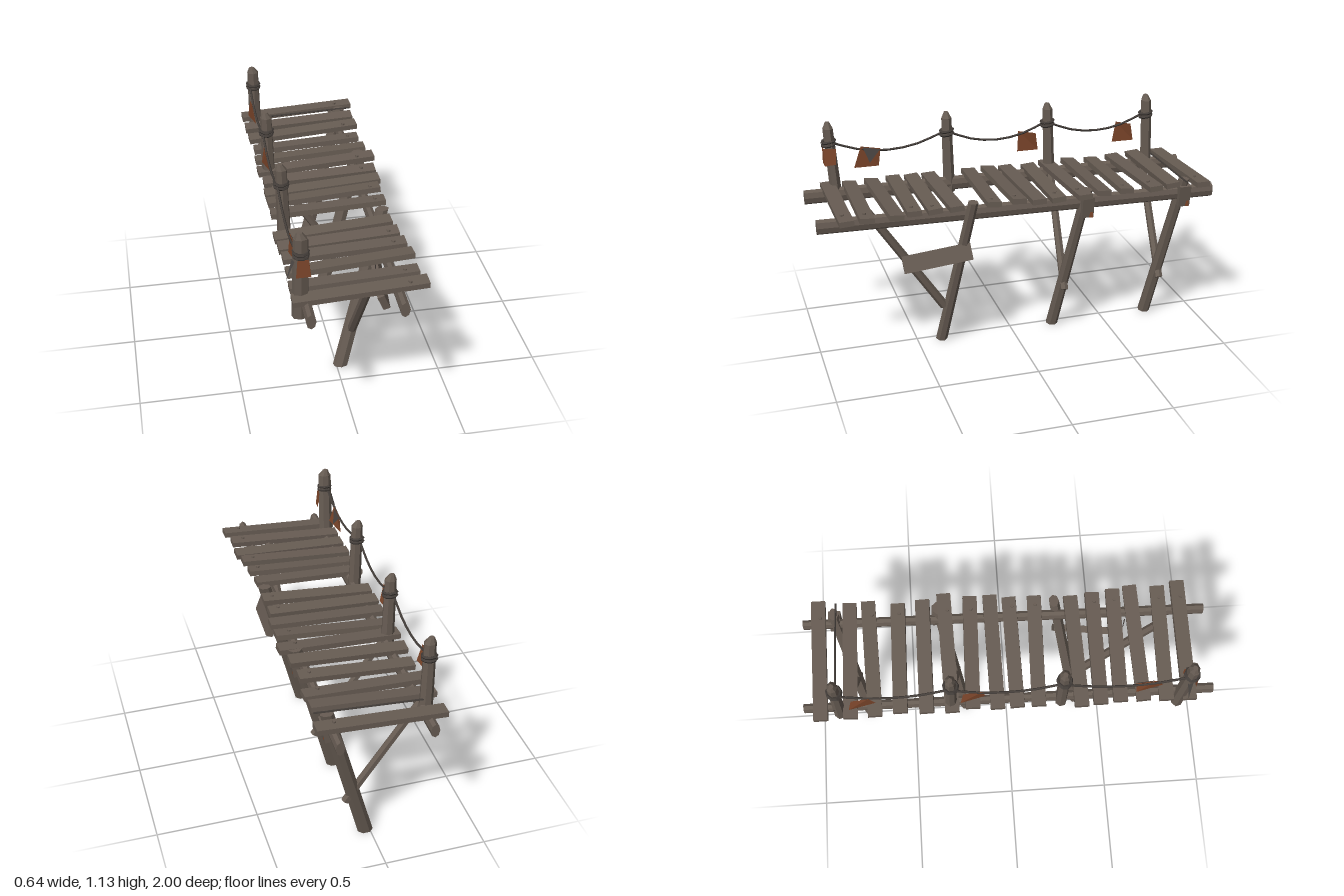
import * as THREE from 'three';

const V = (x, y, z) => new THREE.Vector3(x, y, z);
const mat = (name, color, extra = {}) => Object.assign(new THREE.MeshStandardMaterial({ color, flatShading: true, ...extra }), { name });

export function createModel() {
  const group = new THREE.Group();
  const wood = mat('weatheredWood', 0x675c53);
  const ropeMat = mat('rope', 0x433d39);
  const cloth = mat('rustCloth', 0x80482c, { side: THREE.DoubleSide });
  const rag = mat('greyRag', 0x4b4643, { side: THREE.DoubleSide });

  const add = (name, geo, material) => {
    const m = new THREE.Mesh(geo, material);
    m.name = name;
    group.add(m);
    return m;
  };
  // Upright log: sheared so that its ends stay level
  const upright = (name, a, b, rx, rz, taper = 0.9, sides = 7) => {
    const g = new THREE.CylinderGeometry(taper, 1, 1, sides, 1);
    const p = g.attributes.position;
    for (let i = 0; i < p.count; i++) {
      const c = a.clone().lerp(b, p.getY(i) + 0.5);
      p.setXYZ(i, c.x + p.getX(i) * rx, c.y, c.z + p.getZ(i) * rz);
    }
    g.computeVertexNormals();
    return add(name, g, wood);
  };
  // Round log or sawn board between two points
  const aim = (m, a, b, roll = 0) => {
    m.position.copy(a).lerp(b, 0.5);
    m.lookAt(b);
    m.rotateZ(roll);
    return m;
  };
  const log = (name, a, b, ra, rb, sides = 7, material = wood) => {
    const g = new THREE.CylinderGeometry(rb, ra, a.distanceTo(b), sides);
    g.rotateX(Math.PI / 2);
    return aim(add(name, g, material), a, b);
  };
  const board = (name, a, b, w, h, roll = 0) =>
    aim(add(name, new THREE.BoxGeometry(w, h, a.distanceTo(b)), wood), a, b, roll);
  // Thin quad of cloth
  const sheet = (name, pts, material) => {
    const g = new THREE.BufferGeometry();
    g.setAttribute('position', new THREE.Float32BufferAttribute(pts.flat(), 3));
    g.setIndex(pts.length === 4 ? [0, 1, 2, 0, 2, 3] : [0, 1, 2]);
    g.computeVertexNormals();
    return add(name, g, material);
  };

  // Long bearers under the deck, oval in section
  for (const [name, a, b] of [
    ['rightBearer', V(0.182, 0.765, 1), V(0.23, 0.75, -1)],
    ['leftBearer', V(-0.235, 0.755, 1), V(-0.21, 0.75, -1)],
  ]) upright(name, V(0, 0, 0), V(0, 1, 0), 1, 1).geometry.dispose(), (() => {
    const m = group.children[group.children.length - 1];
    const g = new THREE.CylinderGeometry(0.038, 0.036, 1, 8);
    g.rotateX(Math.PI / 2);
    const p = g.attributes.position;
    for (let i = 0; i < p.count; i++) {
      const c = a.clone().lerp(b, 0.5 - p.getZ(i));
      p.setXYZ(i, c.x + p.getX(i) * 0.6, c.y + p.getY(i), c.z);
    }
    g.computeVertexNormals();
    m.geometry = g;
    m.name = name;
  })();

  // Deck planks: z, left end, right end
  const planks = [
    [-0.915, -0.29, 0.32], [-0.765, -0.29, 0.3], [-0.66, -0.285, 0.305], [-0.525, -0.275, 0.285],
    [-0.4, -0.285, 0.295], [-0.285, -0.29, 0.32], [-0.17, -0.275, 0.3], [-0.06, -0.285, 0.3],
    [0.035, -0.285, 0.28], [0.15, -0.285, 0.28], [0.345, -0.3, 0.27], [0.445, -0.295, 0.28],
    [0.545, -0.29, 0.29], [0.645, -0.29, 0.305], [0.77, -0.295, 0.295], [0.875, -0.3, 0.315],
  ];
  planks.forEach(([z, l, r], i) => {
    const skew = 0.008 * Math.sin(i * 2.3);
    const lift = 0.004 * Math.sin(i * 1.7);
    board('plank', V(l, 0.787 + lift, z - skew), V(r, 0.818 + lift, z + skew), 0.07, 0.027, 0.09 * Math.sin(i * 1.3));
    if (i % 3 !== 1) {
      const peg = add('peg', new THREE.CylinderGeometry(0.009, 0.009, 0.012, 6), wood);
      peg.position.set(0.23, 0.83 + lift, z + 0.01);
    }
  });

  // Leaning legs, with side braces and lashings
  const legs = [[0.375, 0.255], [-0.225, -0.325], [-0.75, -0.84]];
  legs.forEach(([zb, zt], i) => {
    upright('leg', V(0.022, 0, zb), V(0.245, 0.83, zt), 0.039, 0.03, 0.85);
    if (i) {
      log('sideBrace', V(0.135, 0.24, zb - 0.03), V(-0.215, 0.775, zt + 0.04), 0.021, 0.019, 6);
      board('legLashing', V(0.235, 0.69, zt), V(0.25, 0.8, zt), 0.06, 0.052);
      sheet('legRag', [[0.262, 0.79, zt + 0.02], [0.262, 0.79, zt - 0.025], [0.266, 0.685, zt - 0.025], [0.256, 0.69, zt + 0.012]], cloth);
    }
  });
  log('frontBrace', V(0.08, 0.215, 0.37), V(0.097, 0.79, 0.75), 0.023, 0.021, 6);
  board('legBoard', V(0.185, 0.515, 0.595), V(0.212, 0.56, 0.258), 0.035, 0.085, -0.4);
  log('hangingCord', V(0.135, 0.8, 0.6), V(0.137, 0.7, 0.6), 0.003, 0.002, 4, ropeMat);

  // Railing posts with pointed tops and rope bindings
  const posts = [[0.83, 0.86, 0.67, -0.255], [0.255, 0.26, 0.71, -0.235], [-0.285, -0.275, 0.71, -0.23], [-0.83, -0.82, 0.7, -0.225]];
  posts.forEach(([zb, zt, yb, xb], i) => {
    const xt = -0.255 + i * 0.007;
    upright('railPost', V(xb, yb, zb), V(xt, 1.1, zt), i ? 0.034 : 0.04, 0.03, 0.87);
    upright('postTip', V(xt, 1.1, zt), V(xt - 0.006, 1.128, zt), 0.03, 0.026, 0.45);
    for (const y of [1.015, 1.033]) {
      const ring = add('ropeBinding', new THREE.TorusGeometry(0.032, 0.008, 5, 9), ropeMat);
      ring.position.set(xt, y, zt);
      ring.rotation.x = Math.PI / 2 + 0.15;
    }
    // Sagging rope to the next post
    if (i < 3) {
      const z2 = posts[i + 1][1];
      const at = t => V(xt - 0.012, 1.025 - 0.29 * t * (1 - t), zt + (z2 - zt) * t);
      const curve = new THREE.CatmullRomCurve3([0, 0.25, 0.5, 0.75, 1].map(at));
      add('railRope', new THREE.TubeGeometry(curve, 8, 0.006, 5), ropeMat);
    }
  });
  log('deckCord', V(-0.25, 0.81, -0.845), V(0.3, 0.835, -0.828), 0.005, 0.005, 5, ropeMat);

  // Cloth pennants hanging from the rope
  const x = -0.262;
  for (const [za, zb, zc, zd] of [[0.7, 0.6, 0.61, 0.74], [-0.125, -0.22, -0.235, -0.115], [-0.665, -0.75, -0.77, -0.64]])
    sheet('pennant', [[x, 0.985, za], [x, 0.965, zb], [x - 0.01, 0.87, zc], [x + 0.015, 0.88, zd]], cloth);
  sheet('pennantPatch', [[x + 0.004, 0.98, 0.69], [x + 0.004, 0.962, 0.602], [x + 0.018, 0.9, 0.66]], rag);
  // Cloth tied round the front post
  sheet('postCloth', [[-0.275, 1.005, 0.89], [-0.225, 1.005, 0.89], [-0.215, 0.915, 0.89], [-0.282, 0.915, 0.89]], cloth);
  sheet('postClothSide', [[-0.225, 1.005, 0.89], [-0.218, 1.0, 0.83], [-0.21, 0.92, 0.835], [-0.215, 0.915, 0.89]], cloth);
  sheet('postRag', [[-0.275, 1.01, 0.87], [-0.29, 0.99, 0.84], [-0.322, 0.88, 0.855]], rag);
  return group;
}
